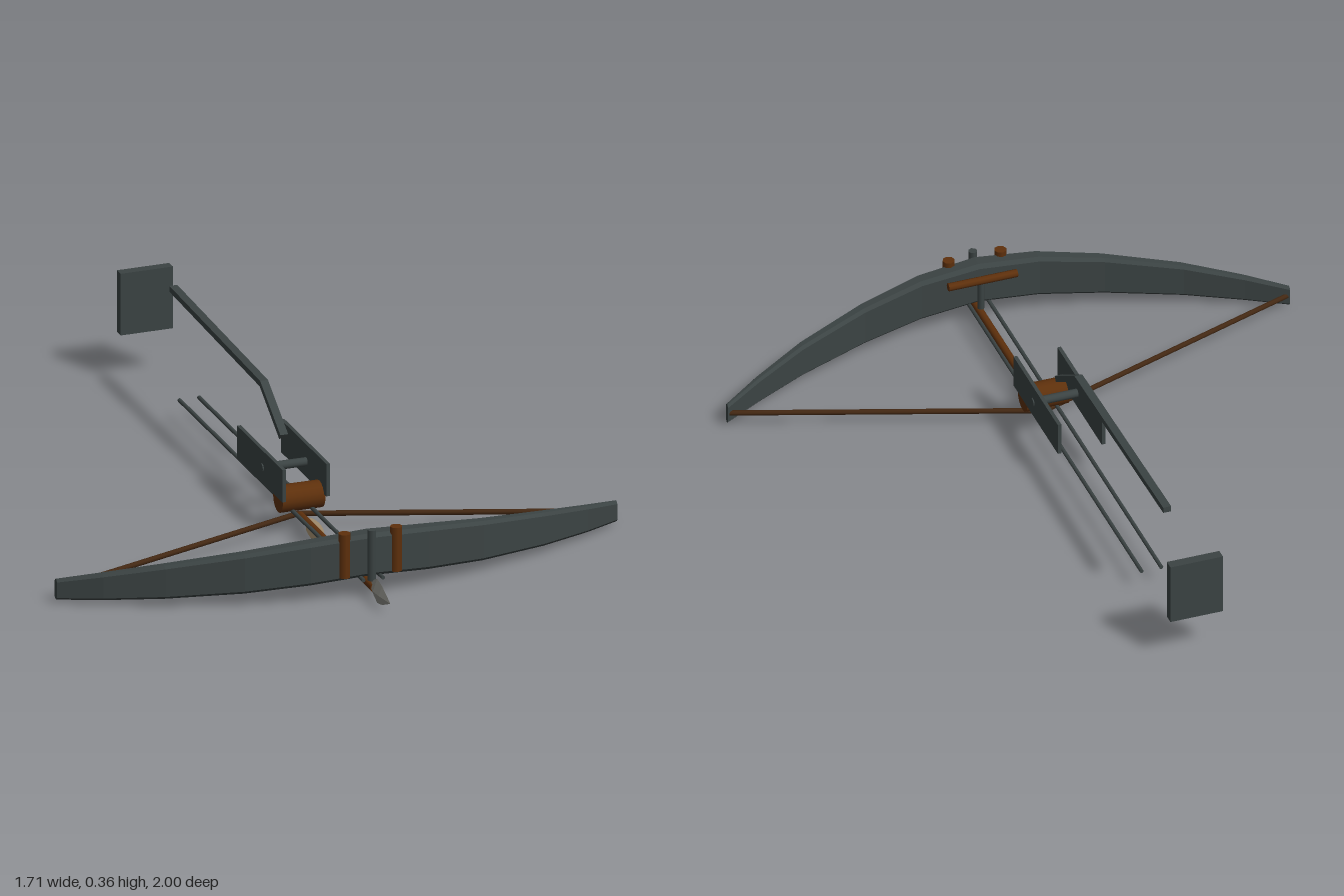
import * as THREE from 'three';

const mat = (name, color, side = THREE.FrontSide) => {
  const m = new THREE.MeshStandardMaterial({ color, side });
  m.name = name;
  return m;
};

// Bow limb: chamfered cross-sections swept along the curve from tip to tip
function limbGeometry() {
  const curve = (points) => new THREE.SplineCurve(points.map(([x, v]) => new THREE.Vector2(x, v)));
  const front = curve([[0, 0.852], [0.18, 0.836], [0.365, 0.792], [0.58, 0.715], [0.74, 0.638], [0.857, 0.572]]);
  const top = curve([[0, 0.2], [0.18, 0.188], [0.365, 0.164], [0.58, 0.131], [0.74, 0.1], [0.857, 0.075]]);
  const bottom = curve([[0, 0.07], [0.18, 0.058], [0.365, 0.043], [0.58, 0.029], [0.74, 0.019], [0.857, 0.013]]);
  const steps = 5, n = 8, pos = [], rings = [];
  for (let i = -steps; i <= steps; i++) {
    const t = Math.abs(i) / steps, p = front.getPoint(t), x = p.x * Math.sign(i);
    const y1 = top.getPoint(t).y, y0 = bottom.getPoint(t).y;
    const c = 0.011 - 0.004 * t;
    const z1 = p.y, z0 = z1 - 0.058 + 0.038 * t;
    rings.push([[z0 + c, y0], [z1 - c, y0], [z1, y0 + c], [z1, y1 - c],
      [z1 - c, y1], [z0 + c, y1], [z0, y1 - c], [z0, y0 + c]].map(([z, y]) => [x, y, z]));
  }
  const tri = (a, b, c) => pos.push(...a, ...b, ...c);
  for (let i = 0; i < rings.length - 1; i++) {
    for (let j = 0; j < n; j++) {
      const k = (j + 1) % n, a = rings[i], b = rings[i + 1];
      tri(a[j], b[j], b[k]);
      tri(a[j], b[k], a[k]);
    }
  }
  const first = rings[0], last = rings[rings.length - 1];
  for (let j = 1; j < n - 1; j++) {
    tri(first[0], first[j], first[j + 1]);
    tri(last[0], last[j + 1], last[j]);
  }
  const g = new THREE.BufferGeometry();
  g.setAttribute('position', new THREE.Float32BufferAttribute(pos, 3));
  g.computeVertexNormals();
  return g;
}

export function createModel() {
  const model = new THREE.Group();
  model.name = 'crossbow';
  const iron = mat('dark iron', 0x3b4343);
  const wood = mat('brown wood', 0x5e300c);
  const cord = mat('bowstring brown', 0x432813);
  const steel = mat('light steel', 0x8f8f88);
  const feather = mat('tan feather', 0xb09a78, THREE.DoubleSide);

  const add = (name, geometry, material, x = 0, y = 0, z = 0) => {
    const m = new THREE.Mesh(geometry, material);
    m.name = name;
    m.position.set(x, y, z);
    model.add(m);
    return m;
  };
  const box = (name, material, size, at) => add(name, new THREE.BoxGeometry(...size), material, ...at);
  // Round bar between two points
  const bar = (name, material, a, b, r, sides = 10) => {
    const p = new THREE.Vector3(...a), d = new THREE.Vector3(...b).sub(p);
    const m = add(name, new THREE.CylinderGeometry(r, r, d.length(), sides), material);
    m.position.copy(p).addScaledVector(d, 0.5);
    m.quaternion.setFromUnitVectors(new THREE.Vector3(0, 1, 0), d.normalize());
  };

  // Bow and its fittings
  add('bowLimb', limbGeometry(), iron);
  bar('frontPost', iron, [0, 0.06, 0.853], [0, 0.215, 0.853], 0.013, 8);
  bar('rearPost', iron, [0, 0.06, 0.785], [0, 0.165, 0.785], 0.01, 8);
  bar('rearBar', wood, [-0.105, 0.165, 0.772], [0.105, 0.165, 0.772], 0.012, 8);
  for (const s of [-1, 1]) {
    bar('limbStrap', wood, [s * 0.079, 0.075, 0.839], [s * 0.079, 0.21, 0.839], 0.018, 8);
    bar('bowstring', cord, [0, 0.044, 0.26], [s * 0.853, 0.044, 0.562], 0.008, 8);
    bar('rail', iron, [s * 0.03, 0.067, -0.625], [s * 0.03, 0.067, 0.865], 0.006, 8);
    box('sidePlate', iron, [0.011, 0.1, 0.367], [s * 0.067, 0.16, 0.137]);
  }

  // Lock: roller nut, pivot pin and trigger lever
  bar('rollerNut', wood, [-0.065, 0.099, 0.265], [0.065, 0.099, 0.265], 0.04, 16);
  bar('pivotPin', iron, [-0.076, 0.157, 0.158], [0.076, 0.157, 0.158], 0.013, 12);
  const lever = new THREE.Shape([[0.134, 0.228], [-0.024, 0.331], [-0.754, 0.35], [-0.754, 0.368],
    [-0.02, 0.349], [0.144, 0.243]].map(([z, y]) => new THREE.Vector2(-z, y)));
  const leverGeo = new THREE.ExtrudeGeometry(lever, { depth: 0.024, bevelEnabled: false });
  leverGeo.translate(0, 0, -0.012).rotateY(Math.PI / 2);
  add('triggerLever', leverGeo, iron);
  box('buttPlate', iron, [0.16, 0.19, 0.03], [0, 0.24, -0.983]);

  // Bolt: shaft, faceted head and three vanes
  bar('boltShaft', wood, [0, 0.042, 0.27], [0, 0.042, 0.87], 0.012, 10);
  const head = new THREE.LatheGeometry([[0.001, 0], [0.018, 0.005], [0.037, 0.045], [0.029, 0.085], [0.001, 0.15]]
    .map(([r, h]) => new THREE.Vector2(r, h)), 4).toNonIndexed();
  head.rotateX(Math.PI / 2).scale(0.36, 1, 1);
  head.computeVertexNormals();
  add('boltHead', head, steel, 0, 0.042, 0.85);
  const vane = new THREE.Shape();
  vane.moveTo(0.315, 0);
  vane.lineTo(0.32, 0.028);
  vane.quadraticCurveTo(0.37, 0.05, 0.43, 0.026);
  vane.lineTo(0.47, 0);
  const vaneGeo = new THREE.ShapeGeometry(vane, 6);
  vaneGeo.rotateY(-Math.PI / 2);
  for (let i = 0; i < 3; i++) {
    const v = add('boltVane', vaneGeo, feather, 0, 0.042, 0);
    v.rotation.z = Math.PI + i * Math.PI * 2 / 3;
    if (i) v.scale.y = 0.6;
  }
  return model;
}
